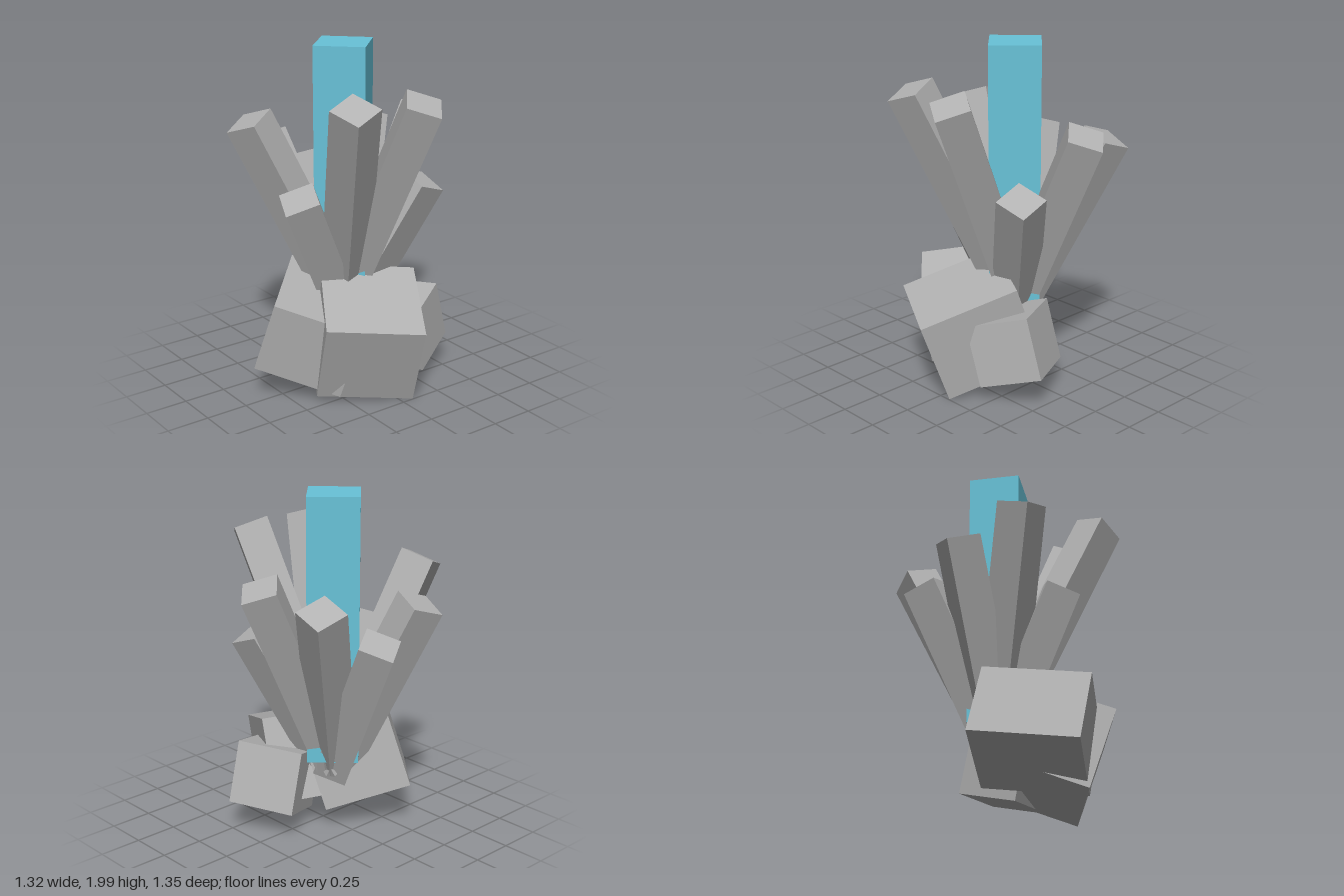
import * as THREE from 'three';

const V = (a) => new THREE.Vector3(...a);

// Block spanned by three edge vectors around a centre
function block(name, centre, e1, e2, e3, material) {
  const a = e1.clone();
  if (a.clone().cross(e2).dot(e3) < 0) a.negate();
  const geo = new THREE.BoxGeometry(1, 1, 1);
  geo.applyMatrix4(new THREE.Matrix4().makeBasis(a, e2, e3).setPosition(centre));
  const mesh = new THREE.Mesh(geo, material);
  mesh.name = name;
  return mesh;
}

// Rock given by one corner and its three edges
function rock(name, corner, e1, e2, e3, material) {
  const edges = [e1, e2, e3].map(V);
  const centre = V(corner);
  edges.forEach((e) => centre.addScaledVector(e, 0.5));
  return block(name, centre, ...edges, material);
}

// Square crystal from the shared core line out to the centre of its tip;
// edge is the plan direction (x, z) of one side of the tip
function crystal(name, tip, rootY, edge, material, side = 0.198) {
  const top = V(tip);
  const root = new THREE.Vector3(-0.09, rootY, -0.005);
  const axis = top.clone().sub(root);
  const [ex, ez] = edge;
  const u = new THREE.Vector3(ex, -(ex * axis.x + ez * axis.z) / axis.y, ez).setLength(side);
  const w = u.clone().cross(axis).setLength(side);
  return block(name, top.add(root).multiplyScalar(0.5), u, axis, w, material);
}

export function createModel() {
  const stone = new THREE.MeshStandardMaterial({ color: 0xb2b2b2 });
  stone.name = 'grey stone';
  const blue = new THREE.MeshStandardMaterial({ color: 0x68c2d8 });
  blue.name = 'blue crystal';

  const model = new THREE.Group();
  model.name = 'crystalCluster';

  // Tall upright crystal in the middle
  model.add(crystal('centreCrystal', [-0.09, 2, -0.005], 0.45, [1, 1], blue, 0.295));

  // Ring of leaning crystals: name, tip, root height, tip edge direction
  const ring = [
    ['backCrystal', [-0.09, 1.55, -0.55], 0.42, [0.14, -0.125]],
    ['backRightCrystal', [-0.42, 1.46, -0.408], 0.42, [0.19, 0.01]],
    ['rightCrystal', [-0.537, 1.24, -0.087], 0.35, [0.152, -0.116]],
    ['frontRightCrystal', [-0.523, 1.41, 0.242], 0.36, [0.178, 0.057]],
    ['frontTallCrystal', [-0.278, 1.585, 0.51], 0.44, [0.17, -0.07]],
    ['frontShortCrystal', [0.063, 1.19, 0.407], 0.37, [0.176, 0.07]],
    ['frontLeftCrystal', [0.43, 1.755, 0.292], 0.48, [0.181, -0.061]],
    ['leftCrystal', [0.497, 1.743, -0.113], 0.5, [0.145, 0.114]],
    ['backLeftCrystal', [0.201, 1.205, -0.351], 0.36, [0.187, -0.008]],
  ];
  for (const [name, tip, rootY, edge] of ring) model.add(crystal(name, tip, rootY, edge, stone));

  // Tumbled rocks at the foot
  model.add(
    rock('frontRock', [-0.03, 0.205, 0.67], [-0.436, 0.078, -0.41], [0.133, 0.415, -0.06], [0.33, -0.155, -0.365], stone),
    rock('leftRock', [0.66, 0.478, -0.025], [-0.275, 0.047, 0.48], [-0.165, -0.472, -0.045], [-0.47, 0.187, -0.285], stone),
    rock('backRock', [0.225, 0.2, -0.54], [0.17, -0.097, 0.315], [0.02, 0.35, 0.098], [-0.345, -0.03, 0.178], stone),
  );
  return model;
}
